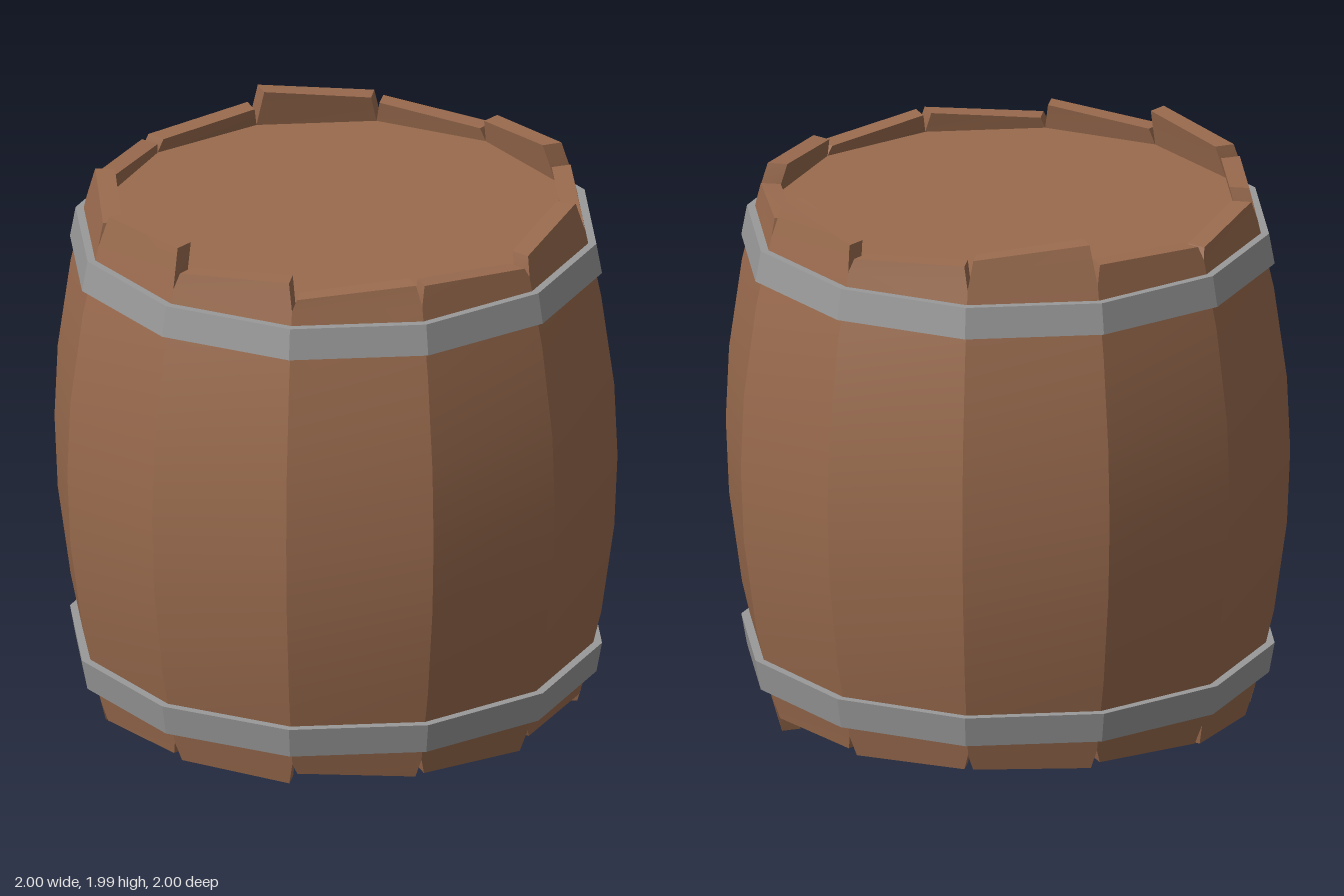
import * as THREE from 'three';
import { toCreasedNormals } from 'three/addons/utils/BufferGeometryUtils.js';

const SIDES = 12;
const STEP = (Math.PI * 2) / SIDES;
const WALL = 0.07; // stave thickness
const NOTCH = 0.018; // angle cut from each side of a stave end
const LOW = 0.12, HIGH = 1.85; // where the stave ends begin to taper

// Bulging outline of the barrel
const radiusAt = (y) => 1 - 0.16 * (y - 1) ** 2;

// Uneven stave ends: [bottom start, bottom end, top start, top end]
const STAVE_ENDS = [
  [0.05, 0.035, 1.91, 1.945],
  [0.08, 0.05, 1.89, 1.925],
  [0.06, 0.04, 1.92, 1.885],
  [0.09, 0.085, 1.92, 1.955],
  [0.045, 0.0, 1.89, 1.91],
  [0.06, 0.07, 1.985, 1.94],
  [0.05, 0.06, 1.9, 1.93],
  [0.06, 0.05, 1.95, 1.99],
  [0.07, 0.05, 1.92, 1.9],
  [0.04, 0.01, 1.89, 1.92],
  [0.05, 0.035, 1.96, 1.93],
  [0.045, 0.07, 1.965, 1.99],
];

// One curved stave, lofted through four-cornered cross-sections
function staveGeometry(index, [b0, b1, t0, t1]) {
  const start = index * STEP, end = start + STEP;
  const levels = [[b0, b1, NOTCH]];
  for (const y of [LOW, 0.4, 0.73, 1, 1.27, 1.6, HIGH]) levels.push([y, y, 0]);
  levels.push([t0, t1, NOTCH]);

  const positions = [], faces = [];
  const addPoint = (angle, y, inset) => {
    const r = radiusAt(y) - inset;
    positions.push(r * Math.sin(angle), y, r * Math.cos(angle));
  };
  for (const [y0, y1, cut] of levels) {
    addPoint(start + cut, y0, 0);
    addPoint(end - cut, y1, 0);
    addPoint(end - cut, y1, WALL);
    addPoint(start + cut, y0, WALL);
  }
  for (let i = 0; i < levels.length - 1; i++) {
    for (let j = 0; j < 4; j++) {
      const a = i * 4 + j, b = i * 4 + ((j + 1) % 4);
      faces.push(a, b, b + 4, a, b + 4, a + 4);
    }
  }
  const top = (levels.length - 1) * 4;
  faces.push(0, 2, 1, 0, 3, 2, top, top + 1, top + 2, top, top + 2, top + 3);

  const geometry = new THREE.BufferGeometry();
  geometry.setAttribute('position', new THREE.Float32BufferAttribute(positions, 3));
  geometry.setIndex(faces);
  return toCreasedNormals(geometry, 0.35);
}

// Faceted metal band with a rectangular section that leans with the staves
function hoopGeometry(yLow, yHigh, rLow, rHigh) {
  const depth = 0.04;
  const profile = [
    [rLow, yLow], [rHigh, yHigh], [rHigh - depth, yHigh], [rLow - depth, yLow], [rLow, yLow],
  ].map(([r, y]) => new THREE.Vector2(r, y));
  return new THREE.LatheGeometry(profile, SIDES);
}

export function createModel() {
  const model = new THREE.Group();
  model.name = 'barrel';
  const wood = new THREE.MeshStandardMaterial({ color: 0x9a6b4e });
  const flatWood = new THREE.MeshStandardMaterial({ color: 0x9a6b4e, flatShading: true });
  const metal = new THREE.MeshStandardMaterial({ color: 0x999999, flatShading: true });

  const add = (parent, name, geometry, material) => {
    const mesh = new THREE.Mesh(geometry, material);
    mesh.name = name;
    parent.add(mesh);
    return mesh;
  };

  // Staves
  const staves = new THREE.Group();
  staves.name = 'staves';
  model.add(staves);
  STAVE_ENDS.forEach((ends, i) => add(staves, `stave${i + 1}`, staveGeometry(i, ends), wood));

  // Recessed lid and base
  const disc = new THREE.CylinderGeometry(0.83, 0.83, 0.04, SIDES);
  add(model, 'lid', disc, flatWood).position.y = HIGH - 0.02;
  add(model, 'base', disc, flatWood).position.y = LOW + 0.02;

  // Hoops
  add(model, 'upperHoop', hoopGeometry(1.69, 1.8, 0.945, 0.925), metal);
  add(model, 'lowerHoop', hoopGeometry(0.17, 0.28, 0.925, 0.945), metal);

  return model;
}
